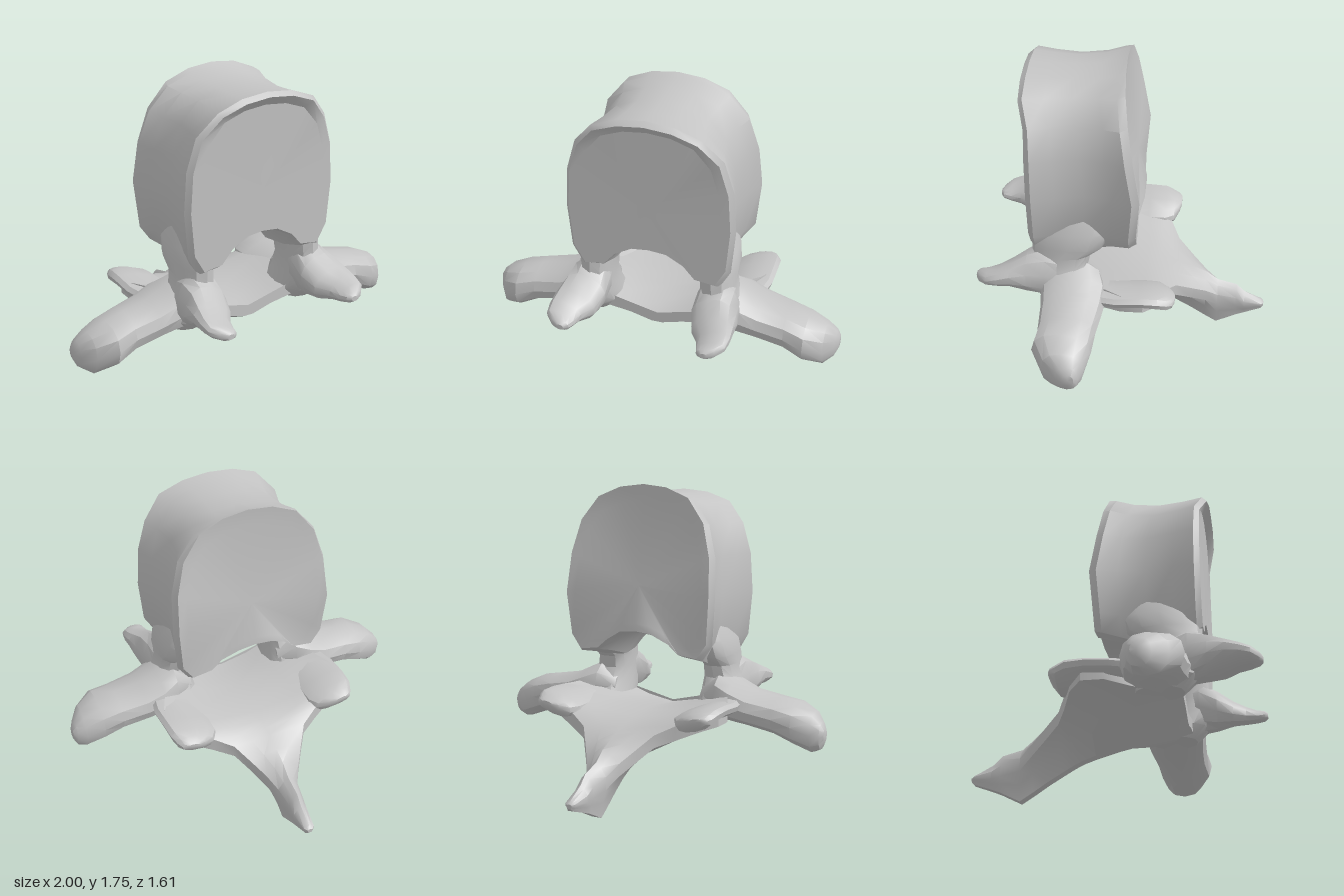
import * as THREE from 'three';
import { toCreasedNormals } from 'three/addons/utils/BufferGeometryUtils.js';

const bone = new THREE.MeshStandardMaterial({ color: 0xc4c4c4 });
bone.name = 'bone grey';

// Skin closed rings of points into a capped solid, winding outward.
function loft(rings, name) {
  const n = rings[0].length, pts = rings.flat(), idx = [];
  for (let r = 0; r < rings.length - 1; r++) {
    for (let i = 0; i < n; i++) {
      const j = (i + 1) % n, a = r * n + i, b = r * n + j;
      idx.push(a, b, b + n, a, b + n, a + n);
    }
  }
  for (const [r, flip] of [[0, true], [rings.length - 1, false]]) {
    const c = new THREE.Vector3();
    rings[r].forEach(p => c.addScaledVector(p, 1 / n));
    pts.push(c);
    for (let i = 0; i < n; i++) {
      const a = r * n + i, b = r * n + (i + 1) % n, k = pts.length - 1;
      if (flip) idx.push(k, b, a); else idx.push(k, a, b);
    }
  }
  // turn the faces round when the signed volume is negative
  let volume = 0;
  for (let i = 0; i < idx.length; i += 3) {
    volume += pts[idx[i]].dot(new THREE.Vector3().crossVectors(pts[idx[i + 1]], pts[idx[i + 2]]));
  }
  if (volume < 0) idx.reverse();
  const g = new THREE.BufferGeometry().setFromPoints(pts);
  g.setIndex(idx);
  const mesh = new THREE.Mesh(toCreasedNormals(g, 0.6), bone);
  mesh.name = name;
  return mesh;
}

// Slightly squared elliptic ring: centre, two axis vectors, tilt about z.
function ring(c, u, v, tilt = 0, n = 12) {
  const pts = [], cs = Math.cos(tilt), sn = Math.sin(tilt);
  const square = t => Math.sign(t) * Math.abs(t) ** 0.85;
  for (let i = 0; i < n; i++) {
    const t = (i / n) * Math.PI * 2;
    const p = new THREE.Vector3().addScaledVector(u, square(Math.cos(t))).addScaledVector(v, square(Math.sin(t)));
    if (tilt) p.set(p.x * cs - p.y * sn, p.x * sn + p.y * cs, p.z);
    pts.push(p.add(c));
  }
  return pts;
}
const V = (x, y, z) => new THREE.Vector3(x, y, z);

// Kidney-shaped block, waisted in the middle, with rims round nearly flat ends.
function makeBody() {
  const half = [[0, 0.93], [0.1, 0.92], [0.2, 0.865], [0.265, 0.79], [0.38, 0.775], [0.44, 0.88], [0.462, 1.13],
    [0.447, 1.35], [0.395, 1.52], [0.29, 1.64], [0.15, 1.69], [0, 1.705]];
  const outline = half.concat(half.slice(1, -1).reverse().map(([x, y]) => [-x, y]));
  const backZ = y => -0.105 + 0.1 * Math.max(0, (y - 1.1) / 0.6) + (y < 0.9 ? 0.025 : 0);
  const lipZ = y => 0.045 * THREE.MathUtils.clamp((y - 1.5) / 0.14, 0, 1);
  // depth (0 front, 1 back), z offset, x scale, overall scale, top lift, bottom drop, front lip
  const slices = [
    [0, 0, 1, 0.84, 0, 0, 0.1], [0, 0, 1, 0.95, 0, 0, 1], [0, -0.03, 1, 1, 0, 0, 1],
    [0.25, 0, 0.92, 1, -0.005, 0.03, 1], [0.5, 0, 0.85, 1, -0.005, 0.04, 1], [0.75, 0, 0.91, 1, 0.005, 0, 1],
    [1, 0.045, 1, 1, 0.025, -0.02, 0], [1, 0.005, 0.99, 0.965, 0.055, -0.02, 0], [1, 0.008, 1, 0.84, 0.02, 0, 0]];
  const rings = slices.map(([d, dz, sx, s, lift, drop, lip]) => outline.map(([x, y]) => {
    const top = Math.max(0, (y - 1.25) / 0.45), low = y < 0.85 ? drop : 0;
    const yy = 1.27 + (y - 1.27) * s;
    return V(x * sx * s, yy + lift * top - low, (0.5 + lip * lipZ(yy)) * (1 - d) + backZ(y) * d + dz);
  }));
  return loft(rings, 'vertebralBody');
}

// V-shaped plate closing the canal, spreading under the joints and drawn out into the rear spine.
function makeLaminaAndSpine() {
  // z, half width, top centre y, side y, side thickness, bottom y
  const rows = [
    [0.38, 0.33, 0.45, 0.54, 0.08, 0.4], [0.28, 0.38, 0.46, 0.57, 0.13, 0.35],
    [0.13, 0.46, 0.475, 0.585, 0.14, 0.3], [0, 0.52, 0.475, 0.575, 0.11, 0.27],
    [-0.12, 0.52, 0.465, 0.565, 0.1, 0.235], [-0.19, 0.44, 0.45, 0.53, 0.09, 0.21],
    [-0.24, 0.32, 0.435, 0.47, 0.08, 0.185], [-0.29, 0.22, 0.42, 0.42, 0.07, 0.155],
    [-0.38, 0.155, 0.39, 0.35, 0.07, 0.1], [-0.46, 0.1, 0.355, 0.29, 0.07, 0.045],
    [-0.53, 0.06, 0.3, 0.23, 0.07, 0.0], [-0.64, 0.045, 0.27, 0.2, 0.06, 0.055],
    [-0.69, 0.042, 0.22, 0.17, 0.04, 0.075], [-0.79, 0.03, 0.165, 0.15, 0.015, 0.11],
    [-0.805, 0.015, 0.15, 0.145, 0.01, 0.125]];
  const rings = rows.map(([z, w, top, side, th, bot]) => {
    const low = side - th, k = Math.min(0.03, w * 0.6);
    const r = [[w * 0.5, top + (side - top) * 0.35], [w, side], [w, low],
      [k + (w - k) * 0.4, bot + (low - bot) * 0.55], [k, bot]];
    return [V(0, top, z), ...r.map(([x, y]) => V(x, y, z)),
      ...r.slice().reverse().map(([x, y]) => V(-x, y, z))];
  });
  return loft(rings, 'laminaAndSpinousProcess');
}

// Paired parts, given for the left (+x) side and mirrored by s.
function makeSide(s) {
  const g = new THREE.Group();
  g.name = s > 0 ? 'leftArch' : 'rightArch';
  const add = (name, rings) => g.add(loft(rings.map(r => r.map(p => V(p.x * s, p.y, p.z))), name));

  // y, x, z, half x, half z
  add('pedicle', [
    [0.98, 0.315, 0.28, 0.06, 0.17], [0.88, 0.33, 0.275, 0.09, 0.215], [0.79, 0.34, 0.295, 0.095, 0.2],
    [0.73, 0.342, 0.335, 0.092, 0.16], [0.66, 0.35, 0.345, 0.1, 0.155], [0.58, 0.365, 0.325, 0.12, 0.175],
    [0.5, 0.37, 0.29, 0.14, 0.18], [0.43, 0.37, 0.27, 0.1, 0.13],
  ].map(([y, x, z, rx, rz]) => ring(V(x, y, z), V(rx, 0, 0), V(0, 0, rz))));

  // x, y, z, half y, half z
  add('transverseProcess', [
    [0.28, 0.55, 0.31, 0.08, 0.14], [0.38, 0.56, 0.28, 0.13, 0.17], [0.47, 0.535, 0.26, 0.115, 0.18],
    [0.57, 0.505, 0.26, 0.098, 0.17], [0.72, 0.475, 0.27, 0.102, 0.155], [0.83, 0.44, 0.285, 0.117, 0.158],
    [0.93, 0.4, 0.268, 0.113, 0.112], [0.98, 0.39, 0.24, 0.075, 0.062], [1.0, 0.395, 0.23, 0.035, 0.03],
  ].map(([x, y, z, ry, rz]) => ring(V(x, y, z), V(0, ry, 0), V(0, 0, rz))));

  // z, x, y, half x, half y, tilt
  const alongZ = rows => rows.map(([z, x, y, rx, ry, tilt]) =>
    ring(V(x, y, z), V(rx, 0, 0), V(0, ry, 0), tilt));
  add('frontArticularProcess', alongZ([
    [0.3, 0.36, 0.6, 0.09, 0.15, 0.1], [0.42, 0.365, 0.625, 0.115, 0.15, 0.2], [0.52, 0.37, 0.61, 0.125, 0.115, 0.35],
    [0.61, 0.385, 0.595, 0.12, 0.072, 0.38], [0.68, 0.41, 0.588, 0.095, 0.052, 0.35],
    [0.74, 0.415, 0.58, 0.08, 0.038, 0.28], [0.785, 0.4, 0.575, 0.05, 0.028, 0.15],
    [0.803, 0.395, 0.573, 0.02, 0.015, 0]]));
  add('rearArticularProcess', alongZ([
    [0.15, 0.43, 0.52, 0.11, 0.045, 0.2], [0.03, 0.43, 0.515, 0.14, 0.045, 0.25], [-0.1, 0.425, 0.52, 0.145, 0.045, 0.27],
    [-0.2, 0.425, 0.515, 0.14, 0.05, 0.28], [-0.25, 0.435, 0.505, 0.11, 0.048, 0.28],
    [-0.28, 0.455, 0.515, 0.07, 0.03, 0.2], [-0.293, 0.46, 0.525, 0.035, 0.012, 0.2]]));
  return g;
}

export function createModel() {
  const model = new THREE.Group();
  model.name = 'vertebra';
  model.add(makeBody(), makeLaminaAndSpine(), makeSide(1), makeSide(-1));
  return model;
}
